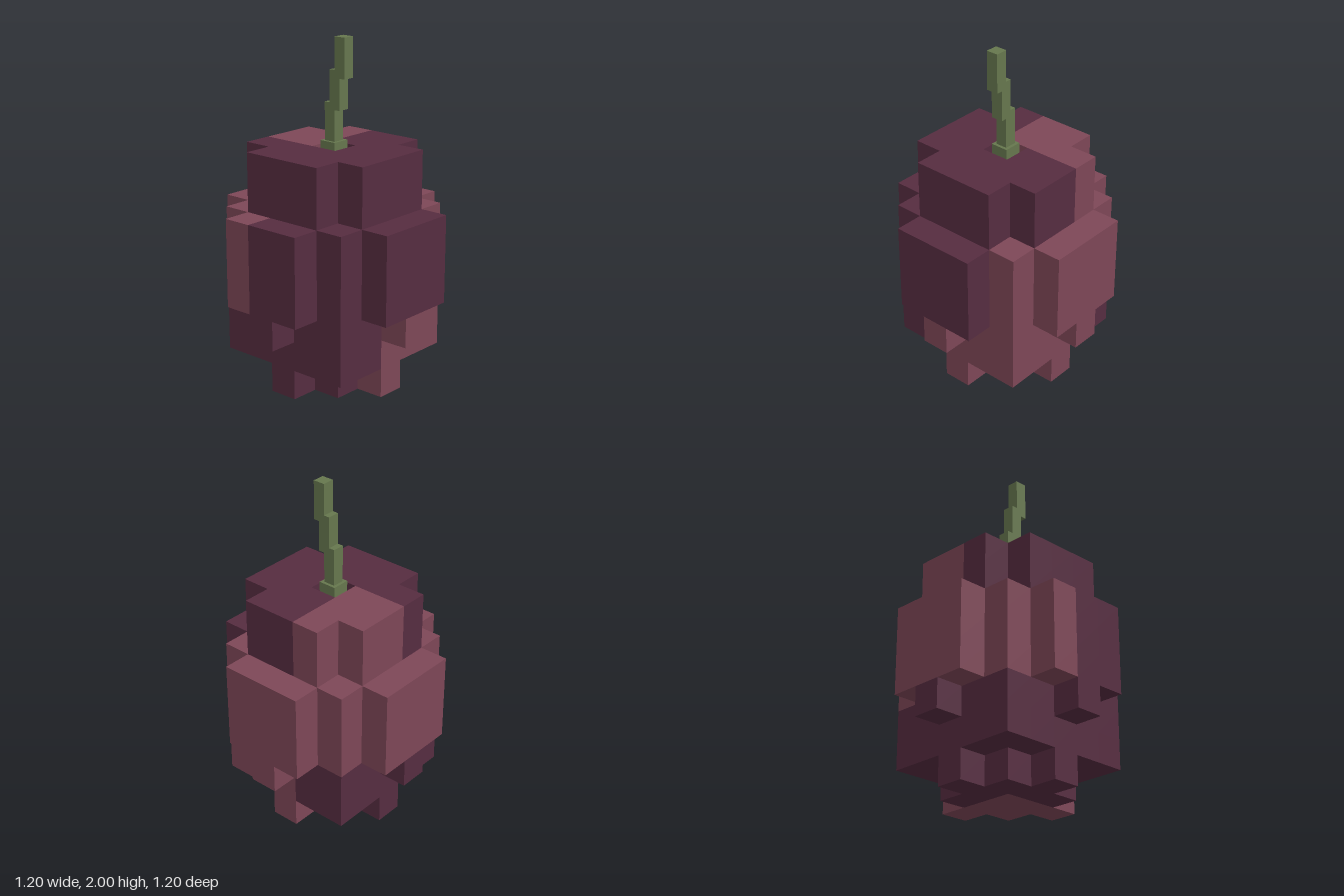
import * as THREE from 'three';
import { mergeGeometries } from 'three/addons/utils/BufferGeometryUtils.js';

const U = 0.172; // edge of one block

// Is there a block at column i (x), layer j (y), row k (z)?
function solid(i, j, k) {
  const a = Math.abs(i), b = Math.abs(k), far = Math.max(a, b), near = Math.min(a, b);
  if (j < 0 || j > 7) return false;
  if (j === 0) return a + b <= 2;                              // stepped foot
  if (j === 1) return far <= 2;
  if (j === 2) return far <= 2 || (far === 3 && near === 0);   // tips of the side bulges
  if (j <= 5) return far <= 2 || (far === 3 && near <= 1);     // side bulges
  if (j === 7 && far === 0) return false;                      // stem hollow
  return far <= 2 && near + far < 4;                           // crown without corners
}

// Which blocks carry the lighter skin
function isLight(i, j, k) {
  if (j <= 2) return i >= 0 && k <= 0;
  if (j <= 5) return i <= -1 || k <= -2;
  return i <= -1 && k <= 0;
}

// One outward square per block face: direction and the turn that faces it
const SIDES = [
  [[0, 0, 1], [0, 0]], [[0, 0, -1], [0, Math.PI]],
  [[1, 0, 0], [0, Math.PI / 2]], [[-1, 0, 0], [0, -Math.PI / 2]],
  [[0, 1, 0], [-Math.PI / 2, 0]], [[0, -1, 0], [Math.PI / 2, 0]],
];

function skin(light) {
  const faces = [];
  for (let j = 0; j < 8; j++)
    for (let i = -3; i <= 3; i++)
      for (let k = -3; k <= 3; k++) {
        if (!solid(i, j, k) || isLight(i, j, k) !== light) continue;
        for (const [[dx, dy, dz], [rx, ry]] of SIDES) {
          if (solid(i + dx, j + dy, k + dz)) continue;
          faces.push(new THREE.PlaneGeometry(U, U).rotateX(rx).rotateY(ry)
            .translate((i + dx / 2) * U, (j + 0.5 + dy / 2) * U, (k + dz / 2) * U));
        }
      }
  return mergeGeometries(faces);
}

export function createModel() {
  const model = new THREE.Group();
  model.name = 'fruit';
  const darkSkin = new THREE.MeshStandardMaterial({ name: 'dark plum skin', color: 0x562c40 });
  const lightSkin = new THREE.MeshStandardMaterial({ name: 'light plum skin', color: 0x7e4757 });
  const green = new THREE.MeshStandardMaterial({ name: 'stem green', color: 0x66774e });

  const add = (parent, name, geometry, material) => {
    const mesh = new THREE.Mesh(geometry, material);
    mesh.name = name;
    parent.add(mesh);
    return mesh;
  };

  // Blocky fruit body
  add(model, 'darkBody', skin(false), darkSkin);
  add(model, 'lightBody', skin(true), lightSkin);

  // Stem: a collar in the hollow and three pieces stepping sideways
  const stem = new THREE.Group();
  stem.name = 'stem';
  model.add(stem);
  const piece = (name, x, y0, y1, w) =>
    add(stem, name, new THREE.BoxGeometry(w, y1 - y0, w), green).position.set(x, (y0 + y1) / 2, 0);
  piece('stemCollar', 0, 7 * U, 1.41, 0.108);
  piece('stemLower', 0, 1.41, 1.63, 0.072);
  piece('stemMiddle', 0.036, 1.59, 1.815, 0.072);
  piece('stemUpper', 0.072, 1.77, 2, 0.072);

  return model;
}
